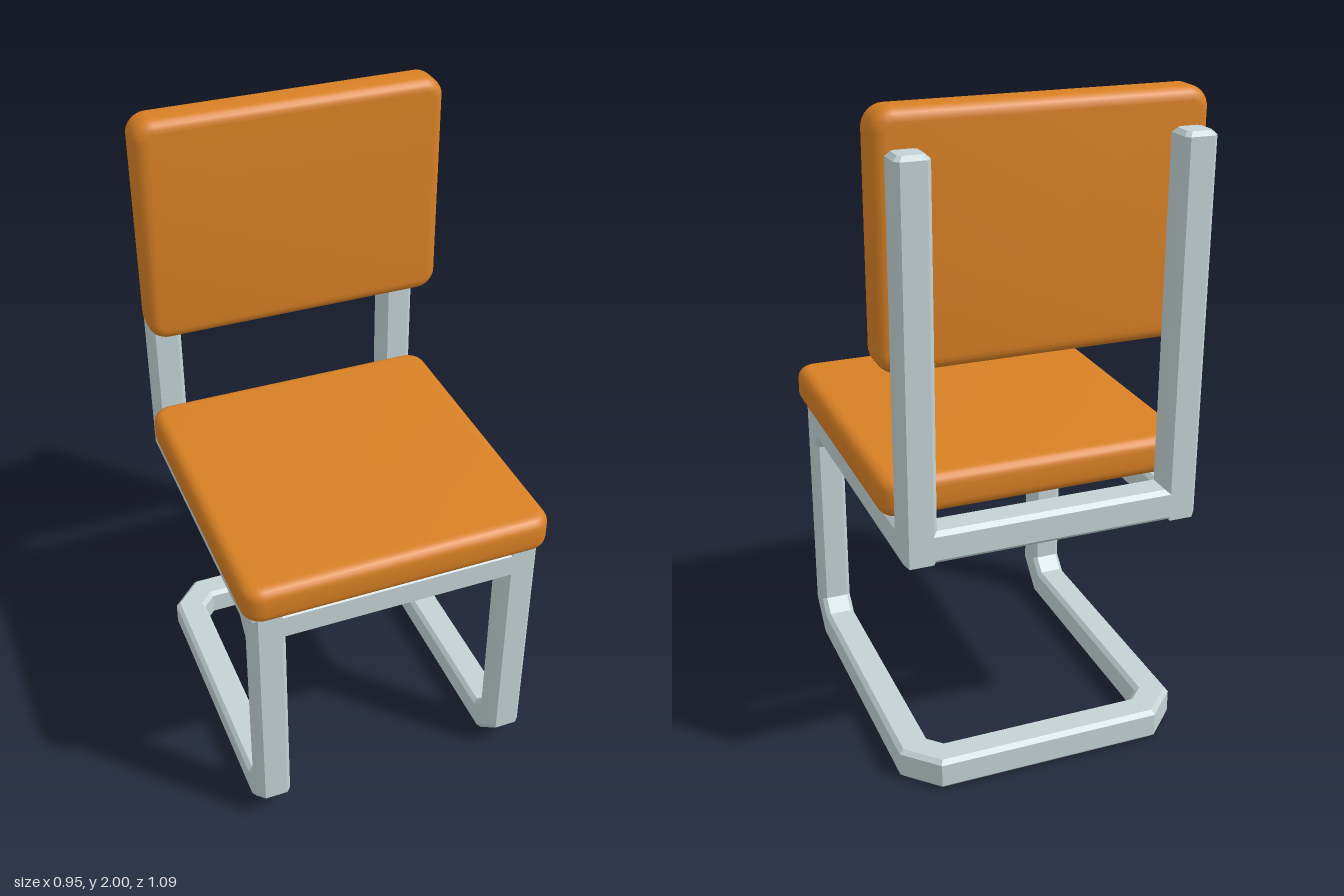
import * as THREE from 'three';
import { toCreasedNormals } from 'three/addons/utils/BufferGeometryUtils.js';

const HALF = 0.049; // half width of the square tube
const CUT = 0.013; // chamfer on the tube edges
const V = (x, y, z) => new THREE.Vector3(x, y, z);

// Chamfered square tube swept along straight runs with mitred joints
function tubeGeometry(points) {
  const h = HALF, c = HALF - CUT;
  const section = [[h, -c], [h, c], [c, h], [-c, h], [-h, c], [-h, -c], [-c, -h], [c, -h]];
  const dirs = points.slice(1).map((p, i) => p.clone().sub(points[i]).normalize());
  const u = Math.abs(dirs[0].x) > 0.9 ? V(0, 1, 0) : V(1, 0, 0);
  const v = dirs[0].clone().cross(u);
  const last = points.length - 1;
  const shrink = (ring, p) => ring.map(q => q.clone().sub(p).multiplyScalar(c / h).add(p));

  const rings = [];
  let ring = section.map(([a, b]) => points[0].clone().addScaledVector(u, a).addScaledVector(v, b));
  rings.push(shrink(ring, points[0]));
  ring = ring.map(q => q.clone().addScaledVector(dirs[0], CUT));
  rings.push(ring);
  for (let i = 1; i <= last; i++) {
    const d = dirs[i - 1];
    const n = i < last ? d.clone().add(dirs[i]) : d;
    const p = i < last ? points[i] : points[i].clone().addScaledVector(d, -CUT);
    // slide each corner along the run until it meets the mitre plane
    ring = ring.map(q => q.clone().addScaledVector(d, p.clone().sub(q).dot(n) / d.dot(n)));
    rings.push(ring);
  }
  rings.push(shrink(ring.map(q => q.clone().addScaledVector(dirs[last - 1], CUT)), points[last]));

  const index = [];
  for (let r = 0; r < rings.length - 1; r++) {
    for (let i = 0; i < 8; i++) {
      const a = r * 8 + i, b = r * 8 + (i + 1) % 8;
      index.push(a, b, b + 8, a, b + 8, a + 8);
    }
  }
  const end = (rings.length - 1) * 8;
  for (let i = 1; i < 7; i++) {
    index.push(0, i + 1, i, end, end + i, end + i + 1);
  }
  const g = new THREE.BufferGeometry().setFromPoints(rings.flat());
  g.setIndex(index);
  const flat = g.toNonIndexed();
  flat.computeVertexNormals();
  return flat;
}

// Rounded slab lying in xy, centred, with softly rolled edges
function cushionGeometry(width, height, depth) {
  const bevel = 0.036, r = 0.026;
  const x = width / 2 - bevel, y = height / 2 - bevel;
  const s = new THREE.Shape();
  s.moveTo(-x + r, -y);
  s.lineTo(x - r, -y);
  s.absarc(x - r, -y + r, r, -Math.PI / 2, 0);
  s.lineTo(x, y - r);
  s.absarc(x - r, y - r, r, 0, Math.PI / 2);
  s.lineTo(-x + r, y);
  s.absarc(-x + r, y - r, r, Math.PI / 2, Math.PI);
  s.lineTo(-x, -y + r);
  s.absarc(-x + r, -y + r, r, Math.PI, Math.PI * 1.5);
  const g = new THREE.ExtrudeGeometry(s, {
    depth: depth - 2 * bevel, bevelEnabled: true, bevelSize: bevel,
    bevelThickness: bevel, bevelSegments: 5, curveSegments: 4,
  });
  g.translate(0, 0, bevel - depth / 2);
  return toCreasedNormals(g, 0.8);
}

export function createModel() {
  const steel = new THREE.MeshStandardMaterial({ color: 0xc3d2d4 });
  steel.name = 'paleSteel';
  const orange = new THREE.MeshStandardMaterial({ color: 0xd88024 });
  orange.name = 'orangeUpholstery';

  const model = new THREE.Group();
  model.name = 'cantileverChair';
  const add = (name, geometry, material, x = 0, y = 0, z = 0) => {
    const mesh = new THREE.Mesh(geometry, material);
    mesh.name = name;
    mesh.position.set(x, y, z);
    model.add(mesh);
    return mesh;
  };

  const X = 0.4, FRONT = 0.466, BACK = -0.494, FLOOR = HALF, RAIL = 0.81, C = 0.07;

  // One continuous tube: back post, seat rail, front leg, floor loop and mirrored return
  const side = [
    [1.9, BACK], [RAIL, BACK], [RAIL, FRONT],
    [FLOOR + C, FRONT], [FLOOR, FRONT - C], [FLOOR, BACK + C],
  ];
  const half = s => [
    ...side.map(([y, z]) => V(s * X, y, z)),
    V(s * (X - C), FLOOR, BACK),
  ];
  add('tubeFrame', tubeGeometry([...half(1), ...half(-1).reverse()]), steel);

  // Cross rails under the seat
  for (const [name, z] of [['frontCrossRail', FRONT], ['backCrossRail', BACK]]) {
    add(name, tubeGeometry([V(-X, RAIL, z), V(X, RAIL, z)]), steel);
  }

  // Diagonal fillets inside the upper front corners
  for (const [name, s] of [['leftCornerBrace', 1], ['rightCornerBrace', -1]]) {
    add(name, tubeGeometry([V(s * X, RAIL - C, FRONT), V(s * X, RAIL, FRONT - C)]), steel);
  }

  // Upholstery
  add('seatCushion', cushionGeometry(0.955, 0.988, 0.12), orange, 0, 0.922, 0.05)
    .rotation.x = -Math.PI / 2;
  add('backCushion', cushionGeometry(0.955, 0.71, 0.122), orange, 0, 1.645, -0.383);

  return model;
}
